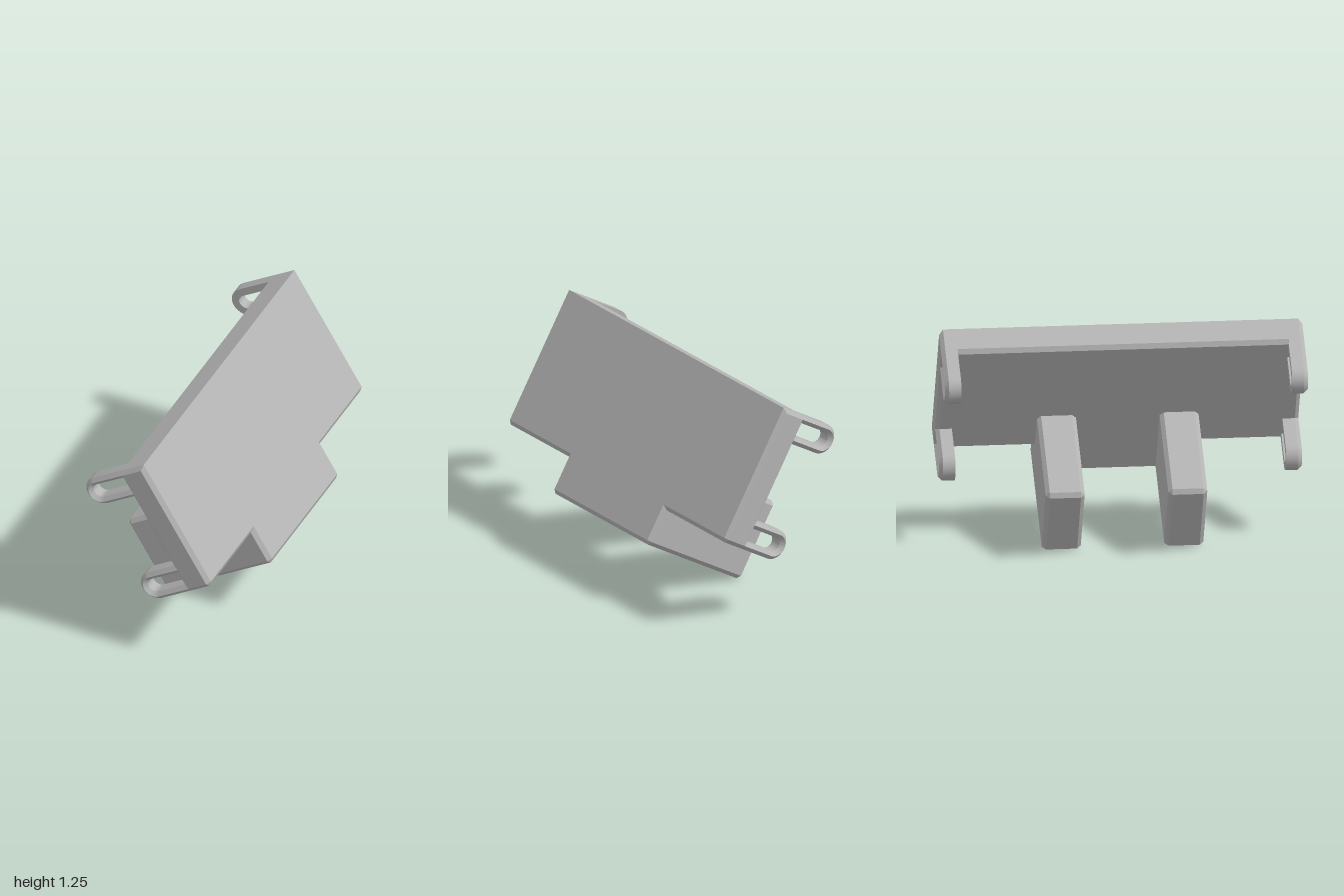
import * as THREE from 'three';
import { toCreasedNormals } from 'three/addons/utils/BufferGeometryUtils.js';
import { ConvexGeometry } from 'three/addons/geometries/ConvexGeometry.js';

const C = 0.022;       // chamfer on all edges
const T = 0.168;       // plate thickness
const PLATE_END = 0.807;
const TONGUE_END = 1.022;

// Chamfered block: u runs along the plate, v inward from its outer face.
// sharpCorner keeps the edge at the low u / low v side unchamfered.
function block([u0, u1], [v0, v1], [z0, z1], sharpCorner = false) {
  const points = [];
  for (const [u, su] of [[u0, 1], [u1, -1]])
    for (const [v, sv] of [[v0, 1], [v1, -1]])
      for (const [z, sz] of [[z0, 1], [z1, -1]]) {
        const add = (a, b, c) =>
          points.push(new THREE.Vector3(u + su * a, -(v + sv * b), z + sz * c));
        add(C, C, 0);
        if (sharpCorner && su > 0 && sv > 0) add(0, 0, C);
        else {
          add(C, 0, C);
          add(0, C, C);
        }
      }
  return toCreasedNormals(new ConvexGeometry(points), 0.3);
}

// U-shaped loop: a chamfered bar section swept down, around and back
function loopGeometry(uCentre, side) {
  const R = 0.085, V_START = 0.14, V_TURN = 0.357, STEPS = 20;
  const section = [[R, 0.91], [R, 1 - C], [R - C, 1], [R - 2 * C, 1 - C], [R - 2 * C, 0.91]];
  const path = [[0, V_START]];
  for (let i = 0; i <= STEPS; i++) path.push([Math.PI * i / STEPS, V_TURN]);
  path.push([Math.PI, V_START]);

  const positions = [], index = [], n = section.length;
  for (const [a, v] of path)
    for (const [r, z] of section)
      positions.push(uCentre - r * Math.cos(a), -(v + r * Math.sin(a)), side * z);
  for (let i = 0; i < path.length - 1; i++)
    for (let j = 0; j < n; j++) {
      const k = (j + 1) % n;
      const a = i * n + j, b = (i + 1) * n + j, c = (i + 1) * n + k, d = i * n + k;
      if (side > 0) index.push(a, b, c, a, c, d);
      else index.push(a, c, b, a, d, c);
    }
  const geometry = new THREE.BufferGeometry();
  geometry.setAttribute('position', new THREE.Float32BufferAttribute(positions, 3));
  geometry.setIndex(index);
  return toCreasedNormals(geometry, 0.4);
}

export function createModel() {
  const grey = new THREE.MeshStandardMaterial({ color: 0xb4b4b4 });
  grey.name = 'light grey';

  const model = new THREE.Group();
  model.name = 'bracket';
  const tilted = new THREE.Group();
  tilted.name = 'tiltedBody';
  tilted.position.set(-0.09, 1.257, 0);
  tilted.rotation.z = -1.027;
  model.add(tilted);

  const add = (name, geometry) => {
    const mesh = new THREE.Mesh(geometry, grey);
    mesh.name = name;
    tilted.add(mesh);
  };

  // Long plate and the tongue that extends it
  add('plate', block([0, PLATE_END], [0, T], [-1, 1], true));
  add('tongue', block([0.4, TONGUE_END], [0, T], [-0.445, 0.445]));

  // Two legs and four strap loops, mirrored front to back
  for (const side of [1, -1]) {
    const end = side > 0 ? 'front' : 'back';
    const z = side > 0 ? [0.23, 0.445] : [-0.445, -0.23];
    add(end + 'Leg', block([0.555, TONGUE_END], [0, 0.75], z));
    add(end + 'UpperLoop', loopGeometry(0.085, side));
    add(end + 'LowerLoop', loopGeometry(PLATE_END - 0.085, side));
  }
  return model;
}
